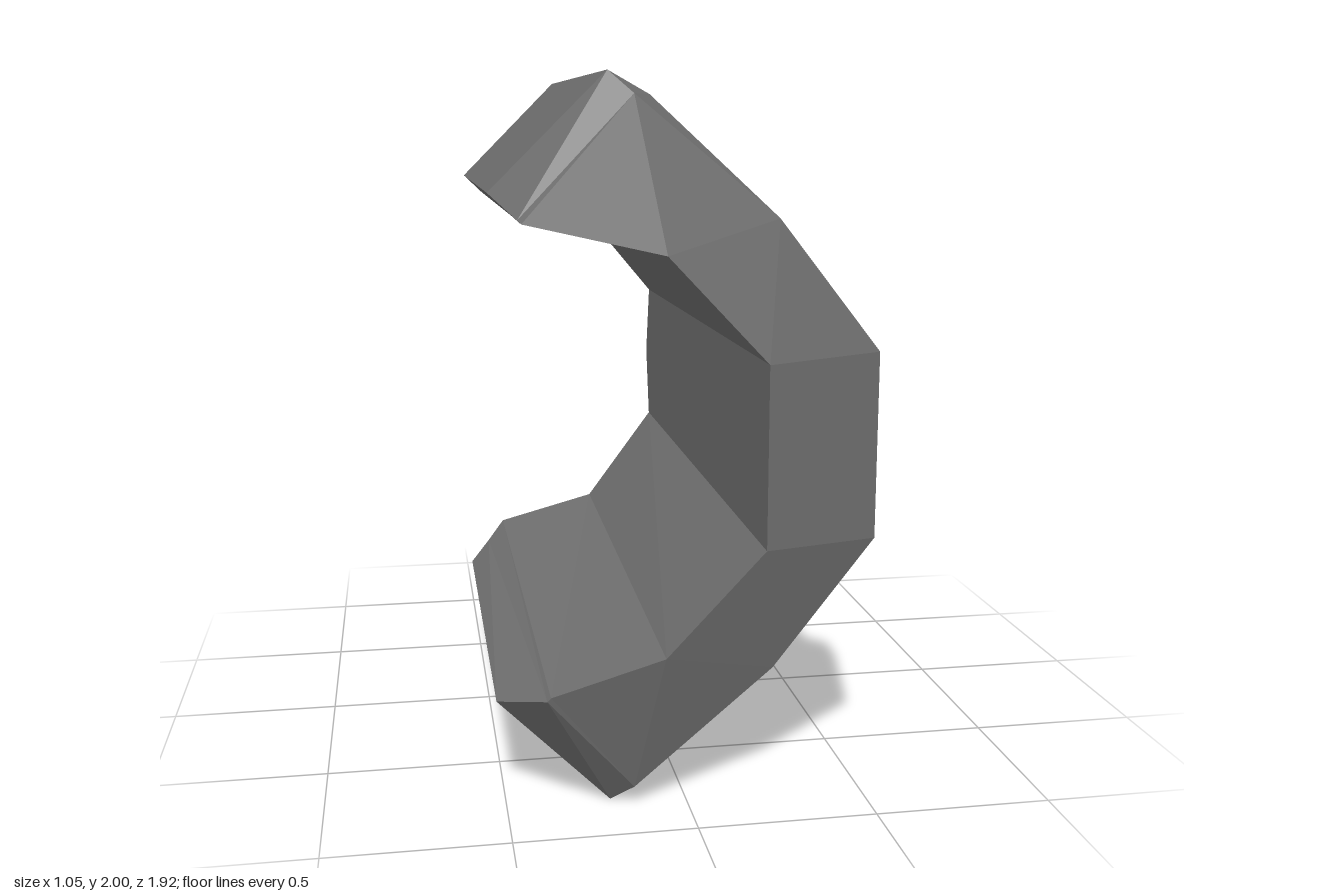
import * as THREE from 'three';

const material = new THREE.MeshStandardMaterial({ color: 0x6e6e6e, flatShading: true });

// Skin a list of cross-section rows (ordered upwards, each running back to front).
// Quads are split symmetrically about the middle height y = 1.
function sweep(name, rows, closed) {
  const pos = [];
  const tri = (a, b, c) => {
    const u = new THREE.Vector3(...b).sub(new THREE.Vector3(...a));
    const v = new THREE.Vector3(...c).sub(new THREE.Vector3(...a));
    if (u.cross(v).length() > 1e-6) pos.push(...a, ...b, ...c);
  };
  const n = rows[0].length;
  for (let i = 0; i < rows.length - 1; i++) {
    const isUpper = rows[i][0][1] + rows[i + 1][0][1] > 2;
    for (let j = 0; j < (closed ? n : n - 1); j++) {
      const k = (j + 1) % n;
      const a = rows[i][j], b = rows[i][k], c = rows[i + 1][k], d = rows[i + 1][j];
      if (isUpper) {
        tri(a, d, b);
        tri(b, d, c);
      } else {
        tri(a, d, c);
        tri(a, c, b);
      }
    }
  }
  if (closed) {
    const first = rows[0], last = rows[rows.length - 1];
    for (let j = 1; j < n - 1; j++) {
      tri(first[0], first[j], first[j + 1]);
      tri(last[0], last[j + 1], last[j]);
    }
  }
  const geometry = new THREE.BufferGeometry();
  geometry.setAttribute('position', new THREE.Float32BufferAttribute(pos, 3));
  geometry.computeVertexNormals();
  const mesh = new THREE.Mesh(geometry, material);
  mesh.name = name;
  return mesh;
}

// Mirror rows about the middle height y = 1.
const mirror = rows => rows.map(r => r.map(([x, y, z]) => [x, 2 - y, z])).reverse();

// Half of the shell, from beside the middle out to the lip.
// Each section: inner back, outer back, rim foot, rim start, rim end, inner front
const halfShell = (lipBack, shoulderBack, frontTipX) => [
  [[0.19, 1.24, -0.9], [0.42, 1.235, -0.9], [0.42, 1.235, 0.66], [0.523, 1.26, 0.73], [0.523, 1.26, 0.84], [0.19, 1.25, 0.95]],
  [[-0.06, 1.53, -0.79], [0.185, 1.575, -0.79], [0.185, 1.575, 0.66], [0.24, 1.62, 0.73], [0.24, 1.62, 0.84], [-0.08, 1.535, 0.95]],
  [[-0.4, 1.585, -0.67], [-0.1, 1.82, -0.67], [-0.1, 1.82, 0.66], [-0.09, 1.94, 0.73], [-0.15, 1.94, 0.85], [frontTipX + 0.01, 1.62, 0.96]],
  [[-0.46, 1.63, -0.57], [-0.09, 1.94, shoulderBack], [-0.09, 1.94, 0.73], [-0.09, 1.94, 0.73], [-0.15, 1.94, 0.85], [frontTipX, 1.63, 0.96]],
  [[-0.523, 1.69, -0.515], [-0.21, 2, lipBack], [-0.21, 2, 0.79], [-0.21, 2, 0.79], [-0.21, 2, 0.79], [-0.523, 1.69, 0.79]],
];

export function createModel() {
  const group = new THREE.Group();
  group.name = 'cuff';

  // C-shaped shell with a front rim and two lips; the lower lip is slightly shorter
  const middle = [[0.19, 1, -0.96], [0.42, 1, -0.96], [0.42, 1, 0.66], [0.523, 1, 0.73], [0.523, 1, 0.84], [0.19, 1, 0.95]];
  const upper = halfShell(-0.57, -0.62, -0.46);
  const lower = mirror(halfShell(-0.51, -0.57, -0.4));
  group.add(sweep('shell', [...lower, middle, ...upper], true));

  // Raised plates: bevelled from the shell's grooves to a top edge [x, y, back z]
  const foot = s => [s[1], s[1], s[2], s[2]];
  const top = (s, [x, y, back]) => [s[1], [x, y, back], [x, y, 0.59], s[2]];
  const plate = (a, b, ta, tb) => [foot(a), top(a, ta), top(b, tb), foot(b)];

  const centre = [top(upper[0], [0.473, 1.21, -0.845]), foot(upper[0])];
  group.add(sweep('centrePlate', [...mirror(centre), top(middle, [0.473, 1, -0.895]), ...centre], false));

  const sides = {
    Shoulder: plate(upper[0], upper[1], [0.447, 1.28, -0.82], [0.235, 1.59, -0.715]),
    End: plate(upper[1], upper[2], [0.2, 1.655, -0.65], [-0.035, 1.85, -0.55]),
  };
  for (const [name, rows] of Object.entries(sides)) {
    group.add(sweep('upper' + name + 'Plate', rows, false));
    group.add(sweep('lower' + name + 'Plate', mirror(rows), false));
  }
  return group;
}
